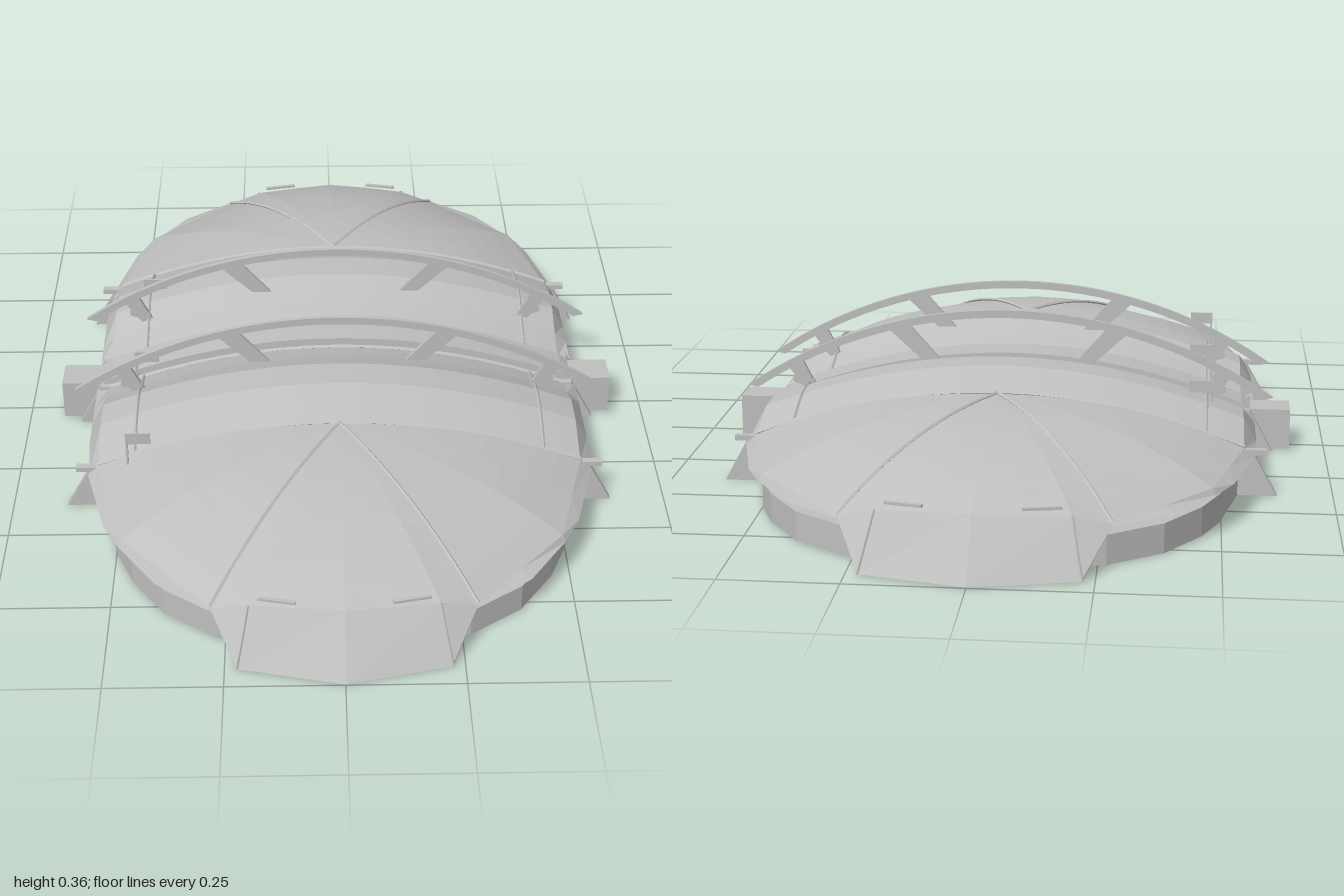
import * as THREE from 'three';

const concrete = new THREE.MeshStandardMaterial({ color: 0xbfbfbf, flatShading: true, side: THREE.DoubleSide });
concrete.name = 'concrete grey';

const V = (x, y, z) => new THREE.Vector3(x, y, z);

function add(parent, name, geometry, x = 0, y = 0, z = 0) {
  const mesh = new THREE.Mesh(geometry, concrete);
  mesh.name = name;
  mesh.position.set(x, y, z);
  parent.add(mesh);
  return mesh;
}

// Surface through equal-length rows of points
function loft(rows) {
  const n = rows[0].length, index = [];
  for (let i = 0; i < rows.length - 1; i++) {
    for (let j = 0; j < n - 1; j++) {
      const a = i * n + j, b = a + n;
      index.push(a, a + 1, b, b, a + 1, b + 1);
    }
  }
  const g = new THREE.BufferGeometry().setFromPoints(rows.flat());
  g.setIndex(index);
  g.computeVertexNormals();
  return g;
}

// Flat polygon given thickness along z, centred on z = 0
function plate(points, depth) {
  const shape = new THREE.Shape(points.map(([x, y]) => new THREE.Vector2(x, y)));
  return new THREE.ExtrudeGeometry(shape, { depth, bevelEnabled: false }).translate(0, 0, -depth / 2);
}

function ridge(points, radius = 0.004) {
  return new THREE.TubeGeometry(new THREE.CatmullRomCurve3(points), 16, radius, 4);
}

// Stadium footprint: one quarter, mirrored to a full ring
const QUARTER = [[0.58, 0], [0.58, 0.28], [0.565, 0.39], [0.52, 0.59], [0.48, 0.68], [0.4, 0.79], [0.28, 0.87], [0.14, 0.905], [0, 0.915]];
function footprint(sx, sz) {
  const q = QUARTER.map(([x, z]) => [x * sx, z * sz]);
  const half = [...q, ...q.slice(0, -1).reverse().map(([x, z]) => [-x, z])];
  return [...half, ...half.slice(1, -1).reverse().map(([x, z]) => [x, -z])];
}
function slab(sx, sz, y, height, hole) {
  const toV = ([x, z]) => new THREE.Vector2(x, z);
  const shape = new THREE.Shape(footprint(sx, sz).map(toV));
  if (hole) shape.holes.push(new THREE.Path(footprint(sx * hole, sz * hole).map(toV)));
  return new THREE.ExtrudeGeometry(shape, { depth: height, bevelEnabled: false }).rotateX(Math.PI / 2).translate(0, y + height, 0);
}

// Roof heights across the middle
const archY = (x, h) => h - 0.11 * (x / 0.55) ** 2;
function archRow(z, h, edge) {
  const row = [V(-edge, 0.09, z)];
  for (let i = 0; i <= 24; i++) {
    const x = -0.55 + i * 1.1 / 24;
    row.push(V(x, archY(x, h), z));
  }
  row.push(V(edge, 0.09, z));
  return row;
}

// Curve from the dome apex to a point on its rim
const APEX = V(0, 0.22, 0.39);
function domePoint(rim, t) {
  return V(rim.x * t, rim.y + (APEX.y - rim.y) * (1 - t ** 2.2), APEX.z + (rim.z - APEX.z) * t);
}
function domeRow(rim, steps = 10, lift = 0) {
  return Array.from({ length: steps + 1 }, (_, i) => {
    const p = domePoint(rim, i / steps);
    p.y += lift;
    return p;
  });
}

function buildEnd() {
  const end = new THREE.Group();
  const sideRim = [V(0.55, 0.11, 0.39), V(0.515, 0.107, 0.52), V(0.48, 0.102, 0.65), V(0.38, 0.096, 0.755), V(0.28, 0.09, 0.86)];
  const sideLow = [V(0.575, 0.088, 0.39), V(0.525, 0.088, 0.58), V(0.487, 0.088, 0.655), V(0.4, 0.088, 0.78), V(0.285, 0.088, 0.865)];
  const mirror = (p) => V(-p.x, p.y, p.z);
  const half = [...sideRim, V(0.2, 0.112, 0.88), V(0.1, 0.117, 0.897), V(0, 0.12, 0.91)];
  const rim = [...half, ...half.slice(0, -1).reverse().map(mirror)];
  add(end, 'endDome', loft(rim.map((p) => domeRow(p))));

  // Overhanging eaves and fan ribs on both sides
  for (const s of [1, -1]) {
    const flip = (p) => V(p.x * s, p.y, p.z);
    add(end, 'eaves', loft([sideRim.map(flip), sideLow.map(flip)]));
    add(end, 'domeRib', ridge(domeRow(flip(sideRim[4]), 10, 0.003)));
    add(end, 'entranceSlot', new THREE.BoxGeometry(0.08, 0.006, 0.008), s * 0.14, 0.128, 0.885).rotation.y = s * 0.2;
    add(end, 'entranceSeam', ridge([V(s * 0.2, 0.112, 0.88), V(s * 0.212, 0.056, 0.917), V(s * 0.225, 0, 0.95)], 0.003));
  }
  // Sloping entrance front
  const top = [V(-0.28, 0.09, 0.86), V(-0.2, 0.112, 0.88), V(0, 0.12, 0.91), V(0.2, 0.112, 0.88), V(0.28, 0.09, 0.86)];
  const foot = [V(-0.226, 0, 0.945), V(-0.222, 0, 0.95), V(0, 0, 1), V(0.222, 0, 0.95), V(0.226, 0, 0.945)];
  add(end, 'entranceFront', loft([top, foot]));
  for (const s of [1, -1]) {
    add(end, 'entranceCheek', loft([[V(s * 0.28, 0.09, 0.86), V(s * 0.226, 0, 0.945)], [V(s * 0.22, 0.09, 0.82), V(s * 0.22, 0, 0.82)]]));
  }

  // Raised roof bay beside the centre
  const bay = [[0.055, 0.205, 0.58], [0.13, 0.228, 0.58], [0.2, 0.255, 0.58], [0.28, 0.255, 0.58], [0.39, 0.22, 0.57]];
  add(end, 'roofBay', loft(bay.map(([z, h, e]) => archRow(z, h, e))));
  add(end, 'bayRib', ridge(archRow(0.387, 0.222, 0.57).slice(1, -1), 0.005));
  add(end, 'innerBayRib', ridge(archRow(0.055, 0.207, 0.57).slice(1, -1), 0.005));
  for (const s of [1, -1]) {
    add(end, 'roofSeam', ridge(bay.map(([z, h]) => V(s * 0.465, archY(0.465, h) + 0.002, z)), 0.004));
    // Buttress fins
    for (const z of [0.055, 0.385]) {
      add(end, 'buttress', plate([[0.5, 0], [0.625, 0], [0.57, 0.1], [0.5, 0.1]].map(([x, y]) => [x * s, y]), 0.016), 0, 0, z);
    }
    add(end, 'finCap', new THREE.BoxGeometry(0.06, 0.012, 0.016), s * 0.57, 0.1, 0.385);
  }

  // Roof truss arch with its struts
  const R = 1.083, arc = (r, a) => [r * Math.sin(a), 0.355 - R + r * Math.cos(a)];
  const angles = Array.from({ length: 33 }, (_, i) => (i / 16 - 1) * 0.609);
  const band = [...angles.map((a) => arc(R, a)), ...angles.slice().reverse().map((a) => arc(R - 0.018, a * 0.975))];
  add(end, 'trussArch', plate(band, 0.01), 0, 0, 0.155);
  const struts = [
    [[0.28, 0.305], [0.237, 0.322], [0.16, 0.235], [0.205, 0.235]],
    [[0.525, 0.212], [0.492, 0.233], [0.455, 0.16], [0.48, 0.15]],
    [[0.46, 0.175], [0.51, 0.185], [0.51, 0.17], [0.46, 0.155]],
  ];
  for (const s of [1, -1]) {
    for (const pts of struts) add(end, 'trussStrut', plate(pts.map(([x, y]) => [x * s, y]), 0.01), 0, 0, 0.155);
  }
  return end;
}

export function createModel() {
  const model = new THREE.Group();
  model.name = 'stadium';

  // Floor, outer wall and stepped tiers
  add(model, 'floor', slab(0.84, 0.87, 0, 0.012));
  add(model, 'outerWall', slab(0.955, 0.98, 0, 0.065, 0.98));
  add(model, 'lowerTier', slab(0.95, 0.975, 0.055, 0.01));
  add(model, 'upperTier', slab(0.86, 0.92, 0.065, 0.02));
  add(model, 'eavesRing', slab(0.965, 0.965, 0.085, 0.006));

  // Radial blocks under the stands
  const inner = footprint(0.84, 0.87), outer = footprint(0.94, 0.965);
  inner.forEach(([x, z], i) => {
    const next = (i + 1) % inner.length;
    const edge = Math.hypot(inner[next][0] - x, inner[next][1] - z);
    const count = Math.max(1, Math.round(edge / 0.075));
    for (let k = 0; k < count; k++) {
      const f = (k + 0.5) / count;
      const mix = (ring) => [ring[i][0] + (ring[next][0] - ring[i][0]) * f, ring[i][1] + (ring[next][1] - ring[i][1]) * f];
      const [ax, az] = mix(inner), [bx, bz] = mix(outer);
      const block = add(model, 'standBlock', new THREE.BoxGeometry(0.035, 0.045, Math.hypot(bx - ax, bz - az)), (ax + bx) / 2, 0.034, (az + bz) / 2);
      block.rotation.y = Math.atan2(bx - ax, bz - az);
    }
  });

  // Two matching halves
  const front = buildEnd(), back = buildEnd();
  front.name = 'frontHalf';
  back.name = 'backHalf';
  back.rotation.y = Math.PI;
  model.add(front, back);

  // Central spine beam and its end towers
  add(model, 'spineBeam', loft([
    archRow(-0.045, 0.195, 0.58), archRow(-0.044, 0.223, 0.58), archRow(0.044, 0.223, 0.58), archRow(0.045, 0.195, 0.58),
  ]));
  add(model, 'spineValley', loft([archRow(-0.06, 0.2, 0.575), archRow(0.06, 0.2, 0.575)]));
  for (const s of [1, -1]) {
    add(model, 'endTower', new THREE.BoxGeometry(0.145, 0.097, 0.08), s * 0.594, 0.0485, 0);
  }

  // Flags along one side
  for (const z of [-0.24, 0.09, 0.42]) {
    add(model, 'flagPole', new THREE.BoxGeometry(0.005, 0.09, 0.005), -0.478, 0.175, z);
    add(model, 'flag', new THREE.BoxGeometry(0.055, 0.028, 0.004), -0.452, 0.206, z);
  }
  return model;
}
